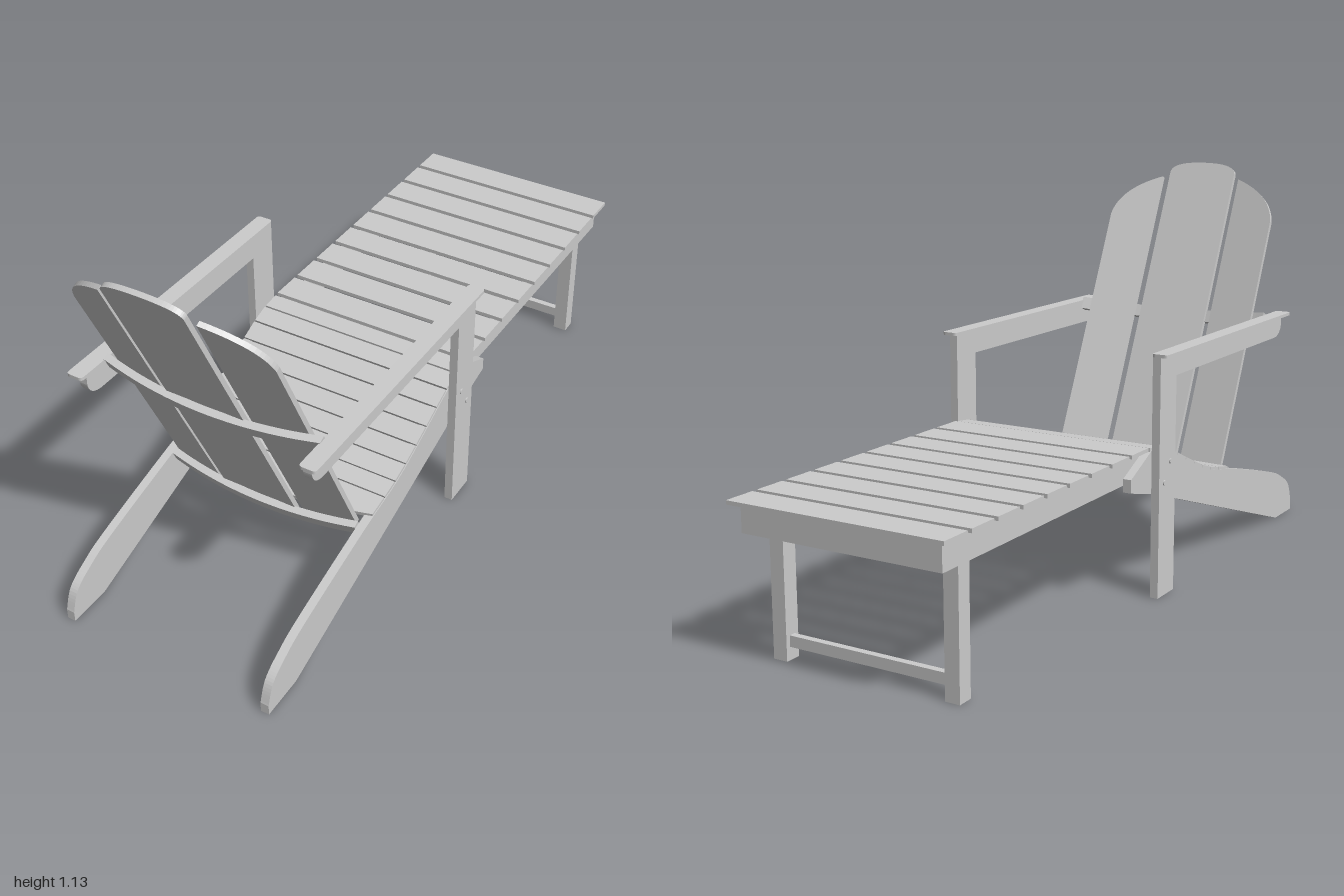
import * as THREE from 'three';

const mat = new THREE.MeshStandardMaterial({ color: 0xcccccc, flatShading: true });

function add(parent, name, geo, x = 0, y = 0, z = 0) {
  const m = new THREE.Mesh(geo, mat);
  m.name = name;
  m.position.set(x, y, z);
  parent.add(m);
  return m;
}

// Box given by its limits
function box(parent, name, x0, x1, y0, y1, z0, z1) {
  return add(parent, name, new THREE.BoxGeometry(x1 - x0, y1 - y0, z1 - z0),
    (x0 + x1) / 2, (y0 + y1) / 2, (z0 + z1) / 2);
}

function extrude(shape, depth) {
  return new THREE.ExtrudeGeometry(shape, { depth, bevelEnabled: false, curveSegments: 14 });
}

// Move every vertex by a rule
function bend(geo, rule) {
  const p = geo.attributes.position, v = new THREE.Vector3();
  for (let i = 0; i < p.count; i++) {
    rule(v.fromBufferAttribute(p, i));
    p.setXYZ(i, v.x, v.y, v.z);
  }
  geo.computeVertexNormals();
  return geo;
}

// Upright board drawn in (-z, y), between two distances from the middle, on side s
function sideBoard(parent, name, shape, x0, x1, s) {
  const g = extrude(shape, x1 - x0).rotateY(Math.PI / 2);
  return add(parent, name, g, s > 0 ? x0 : -x1);
}

// Upper edge of the seat rails, from the rear foot to the front, as (-z, y)
const railTop = new THREE.SplineCurve([
  [-1, 0.03], [-0.975, 0.09], [-0.915, 0.13], [-0.82, 0.167], [-0.535, 0.243],
  [-0.37, 0.278], [-0.247, 0.325], [-0.075, 0.402], [0.015, 0.42],
].map(([a, b]) => new THREE.Vector2(a, b))).getPoints(64);

function seatHeight(z) {
  const i = Math.max(1, railTop.findIndex(p => p.x >= -z));
  const a = railTop[i - 1], b = railTop[i];
  return a.y + (b.y - a.y) * (-z - a.x) / (b.x - a.x);
}

function railShape() {
  const s = new THREE.Shape();
  s.moveTo(-0.876, 0);
  s.lineTo(-0.075, 0.268);
  s.lineTo(0.016, 0.297);
  s.lineTo(0.134, 0.327);
  s.lineTo(0.134, 0.364);
  [...railTop].reverse().forEach(p => s.lineTo(p.x, p.y));
  s.lineTo(-1, 0);
  return s;
}

// Front leg and arm support in one L-shaped outline
function armFrameShape() {
  const s = new THREE.Shape();
  s.moveTo(-0.08, 0);
  s.lineTo(0.016, 0);
  s.lineTo(0.016, 0.68);
  s.lineTo(-0.815, 0.68);
  s.lineTo(-0.815, 0.655);
  s.quadraticCurveTo(-0.81, 0.618, -0.765, 0.615);
  s.lineTo(-0.08, 0.615);
  return s;
}

function armTopShape(x0, x1, z0, z1, r) {
  const s = new THREE.Shape();
  s.moveTo(x0 + r, z0);
  s.lineTo(x1 - r, z0);
  s.quadraticCurveTo(x1, z0, x1, z0 + r);
  s.lineTo(x1, z1 - r);
  s.quadraticCurveTo(x1, z1, x1 - r, z1);
  s.lineTo(x0 + r, z1);
  s.quadraticCurveTo(x0, z1, x0, z1 - r);
  s.lineTo(x0, z0 + r);
  s.quadraticCurveTo(x0, z0, x0 + r, z0);
  return s;
}

function buildSides(parent) {
  for (const s of [1, -1]) {
    sideBoard(parent, 'seatRail', railShape(), 0.294, 0.318, s);
    sideBoard(parent, 'frontLegAndArmSupport', armFrameShape(), 0.318, 0.342, s);
    const [a, b] = s > 0 ? [0.317, 0.365] : [-0.365, -0.317];
    add(parent, 'armTop',
      extrude(armTopShape(a, b, -0.022, 0.835, 0.012), 0.009).rotateX(Math.PI / 2), 0, 0.688, 0);
    for (const [y, z] of [[0.38, 0.05], [0.325, 0.015]]) {
      add(parent, 'bolt', new THREE.CylinderGeometry(0.008, 0.008, 0.005, 12).rotateZ(Math.PI / 2),
        s * 0.343, y, z);
    }
  }
}

function buildSeat(parent) {
  const count = 8, pitch = 0.0565, first = -0.022, gap = 0.004, t = 0.012;
  for (let i = 0; i <= count; i++) {
    const last = i === count;
    const z0 = first + i * pitch, z1 = last ? 0.49 : z0 + pitch - gap;
    const y0 = seatHeight(Math.max(z0, -0.01)), y1 = seatHeight(z1);
    const len = Math.hypot(z1 - z0, y1 - y0);
    const geo = new THREE.BoxGeometry(0.632, t, len, last ? 24 : 1, 1, 1);
    // The rearmost slat bows out along its back edge
    if (last) bend(geo, v => { if (v.z > 0) v.z += 0.042 * (1 - (v.x / 0.316) ** 2); });
    const m = add(parent, 'seatSlat', geo, 0, (y0 + y1) / 2 + 0.002, (z0 + z1) / 2);
    m.rotation.x = Math.atan2(y0 - y1, z1 - z0);
  }
}

function buildBack(parent) {
  const back = new THREE.Group();
  back.name = 'backrest';
  back.position.set(0, 0.24, 0.553);
  back.rotation.x = Math.atan(0.466);
  parent.add(back);

  const t = 0.014, foot = -0.022;
  const middle = new THREE.Shape();
  middle.moveTo(-0.114, foot);
  middle.lineTo(0.114, foot);
  middle.lineTo(0.114, 0.945);
  middle.quadraticCurveTo(0.11, 0.98, 0, 0.98);
  middle.quadraticCurveTo(-0.11, 0.98, -0.114, 0.945);
  add(back, 'middleBackSlat', extrude(middle, t), 0, 0, -t);

  // Outer slats turn forward towards their outer edges
  for (const s of [1, -1]) {
    const side = new THREE.Shape();
    side.moveTo(s * 0.135, foot);
    side.lineTo(s * 0.283, foot);
    side.lineTo(s * 0.283, 0.78);
    side.quadraticCurveTo(s * 0.27, 0.87, s * 0.135, 0.925);
    const geo = bend(extrude(side, t), v => { v.z -= 0.006 + (Math.abs(v.x) - 0.135) * 0.155; });
    add(back, 'outerBackSlat', geo, 0, 0, -t);
  }

  // Bowed cross bars behind the slats
  for (const [name, half, v0, v1] of [['lowerBackBar', 0.292, -0.036, 0.0], ['upperBackBar', 0.32, 0.45, 0.488]]) {
    const geo = bend(new THREE.BoxGeometry(half * 2, v1 - v0, 0.02, 24, 1, 1),
      v => { v.z -= 0.37 * v.x * v.x; });
    add(back, name, geo, 0, (v0 + v1) / 2, 0.011);
  }
}

function buildLegRest(parent) {
  const rest = new THREE.Group();
  rest.name = 'legRest';
  parent.add(rest);
  for (let i = 0; i < 9; i++) {
    const z = -1 + i * 0.1093;
    box(rest, 'legRestSlat', -0.316, 0.316, 0.419, 0.43, z, z + 0.093);
  }
  for (const s of [1, -1]) {
    const [a, b] = s > 0 ? [0.279, 0.293] : [-0.293, -0.279];
    box(rest, 'legRestRail', a, b, 0.345, 0.419, -0.975, -0.025);
    const [c, d] = s > 0 ? [0.237, 0.279] : [-0.279, -0.237];
    box(rest, 'legRestLeg', c, d, 0, 0.419, -0.893, -0.848);
  }
  box(rest, 'legRestEndBoard', -0.279, 0.279, 0.345, 0.419, -0.975, -0.957);
  box(rest, 'legRestInnerBoard', -0.279, 0.279, 0.345, 0.419, -0.043, -0.025);
  box(rest, 'legRestStretcher', -0.237, 0.237, 0.035, 0.065, -0.88, -0.861);
}

export function createModel() {
  const model = new THREE.Group();
  model.name = 'loungeChair';
  buildSides(model);
  buildSeat(model);
  buildBack(model);
  buildLegRest(model);
  return model;
}
